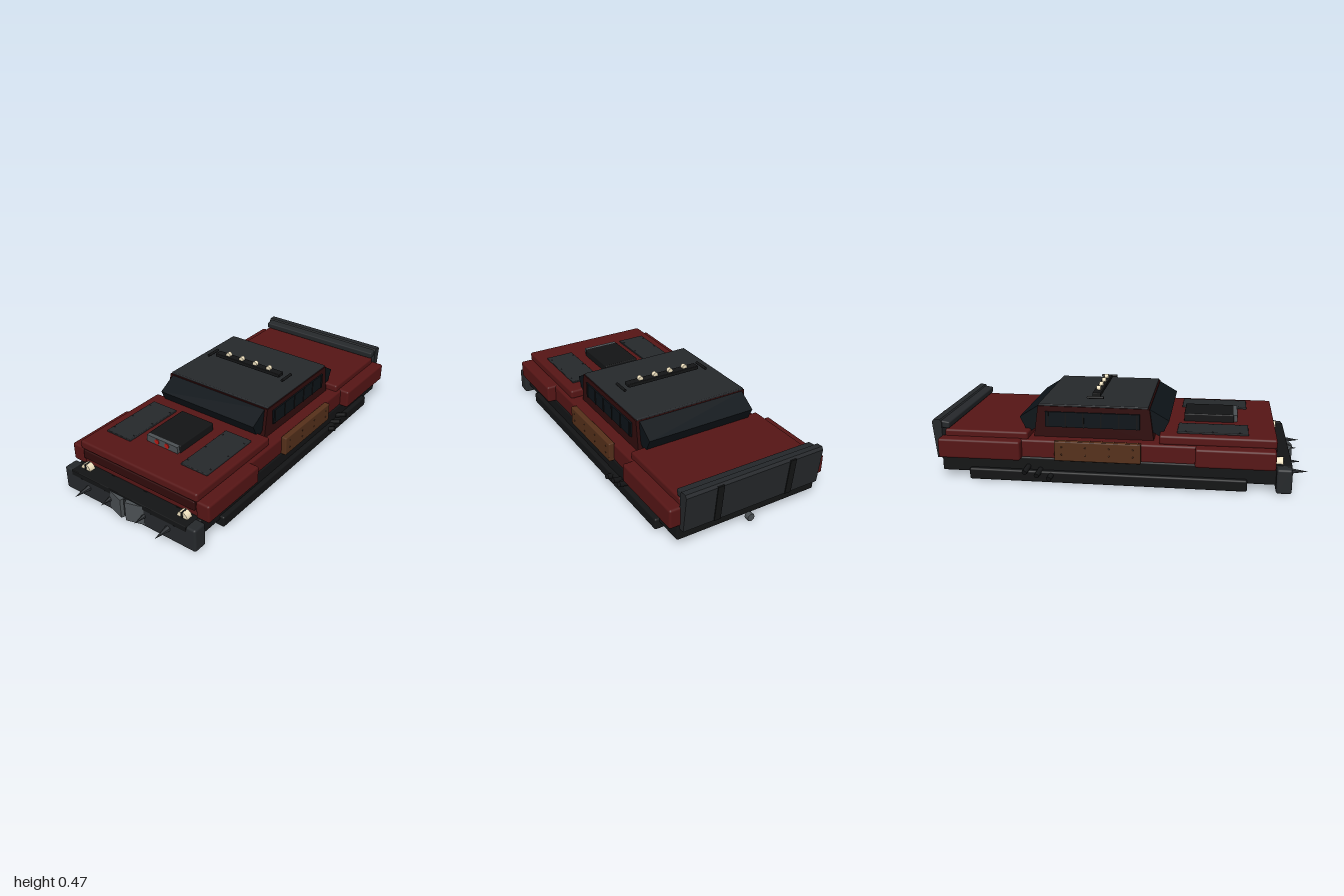
import * as THREE from 'three';
import { RoundedBoxGeometry } from 'three/addons/geometries/RoundedBoxGeometry.js';

const mat = (color, flat = false) => new THREE.MeshStandardMaterial({ color, flatShading: flat });
const RED = mat(0x561515), DARKRED = mat(0x300c0c), BLACK = mat(0x131415), STEEL = mat(0x25282b),
  GLASS = mat(0x0c1318), RUST = mat(0x55301a), PLATE = mat(0x4b5053), CREAM = mat(0xf0e2c0),
  SIGNAL = mat(0xb81a14), SPIKE = mat(0x2c2f33, true);

export function createModel() {
  const car = new THREE.Group();
  car.name = 'armouredCar';

  const add = (name, geometry, material, x = 0, y = 0, z = 0) => {
    const mesh = new THREE.Mesh(geometry, material);
    mesh.name = name;
    mesh.position.set(x, y, z);
    car.add(mesh);
    return mesh;
  };
  // Box given by its limits, rounded when r > 0
  const box = (name, material, [x0, x1], [y0, y1], [z0, z1], r = 0) => {
    const s = [x1 - x0, y1 - y0, z1 - z0];
    const geometry = r ? new RoundedBoxGeometry(...s, 2, r) : new THREE.BoxGeometry(...s);
    return add(name, geometry, material, (x0 + x1) / 2, (y0 + y1) / 2, (z0 + z1) / 2);
  };
  // Side profile of [z, y] points, extruded across the width
  const prism = (name, material, points, half) => {
    const shape = new THREE.Shape(points.map(p => new THREE.Vector2(...p)));
    const geometry = new THREE.ExtrudeGeometry(shape, { depth: 2 * half, bevelEnabled: false });
    geometry.rotateY(-Math.PI / 2).translate(half, 0, 0);
    return add(name, geometry, material);
  };
  // Round bar along z, tapering from r0 at the back to r1 at the front
  const rod = (name, material, r0, r1, length, sides, x, y, z) =>
    add(name, new THREE.CylinderGeometry(r1, r0, length, sides).rotateX(Math.PI / 2), material, x, y, z);
  const bolt = (x, y, z, material = BLACK) =>
    add('bolt', new THREE.SphereGeometry(0.005, 8, 6), material, x, y, z);

  // Chassis and body
  box('chassis', BLACK, [-0.41, 0.41], [0.04, 0.135], [-0.945, 0.83], 0.01);
  box('body', RED, [-0.405, 0.405], [0.125, 0.228], [-0.93, 0.81], 0.012);
  box('hood', RED, [-0.388, 0.388], [0.225, 0.275], [0.22, 0.825], 0.012);
  box('trunk', RED, [-0.39, 0.39], [0.215, 0.265], [-0.93, -0.475], 0.012);
  box('grille', DARKRED, [-0.37, 0.37], [0.172, 0.225], [0.8, 0.826], 0.005);

  // Cabin, roof and projecting screens
  prism('cabin', DARKRED, [[0.19, 0.22], [0.165, 0.396], [-0.43, 0.396], [-0.455, 0.22]], 0.333);
  box('roof', STEEL, [-0.328, 0.328], [0.393, 0.406], [-0.43, 0.158], 0.005);
  prism('windshield', GLASS, [[0.165, 0.392], [0.268, 0.333], [0.225, 0.243], [0.13, 0.3]], 0.315);
  prism('rearWindow', GLASS, [[-0.4, 0.3], [-0.492, 0.24], [-0.535, 0.328], [-0.435, 0.392]], 0.315);

  // Parts on both sides
  for (const s of [-1, 1]) {
    const span = (a, b) => (s > 0 ? [a, b] : [-b, -a]);
    box('rockerRail', BLACK, span(0.375, 0.435), [0.004, 0.066], [-0.79, 0.68], 0.01);
    box('frontFender', RED, span(0.375, 0.455), [0.13, 0.23], [0.41, 0.82], 0.012);
    box('rearFender', RED, span(0.375, 0.455), [0.125, 0.23], [-0.95, -0.505], 0.012);
    box('rustPanel', RUST, span(0.4, 0.434), [0.128, 0.235], [-0.325, 0.13], 0.006);
    for (let i = 0; i < 4; i++)
      for (const y of [0.165, 0.205]) bolt(s * 0.432, y, 0.09 - i * 0.125, RUST);

    box('sideWindow', GLASS, span(0.32, 0.341), [0.285, 0.368], [-0.39, 0.115]);
    for (let i = 0; i < 6; i++) {
      const z = 0.1 - i * 0.095;
      box('windowBar', BLACK, span(0.338, 0.344), [0.285, 0.368], [z - 0.004, z + 0.004]);
    }

    // Slanted exhaust pipes
    for (let i = 0; i < 3; i++) {
      const pipe = add('exhaustPipe', new THREE.CylinderGeometry(0.014, 0.014, 0.07, 12), BLACK,
        s * 0.432, 0.045 + i * 0.015 + (s > 0 ? 0.008 : 0), -0.345 - i * 0.065);
      pipe.quaternion.setFromUnitVectors(new THREE.Vector3(0, 1, 0),
        new THREE.Vector3(1, 0.3, s * -0.2).normalize());
    }

    // Hood armour
    box('hoodPlate', STEEL, span(0.17, 0.335), [0.27, 0.284], [0.31, 0.68], 0.004);
    for (const x of [0.182, 0.323])
      for (const z of [0.355, 0.495, 0.635]) bolt(s * x, 0.282, z);
    rod('scoopLight', SIGNAL, 0.014, 0.014, 0.006, 20, s * 0.033, 0.298, 0.625);

    // Headlights split by a bar
    rod('headlight', CREAM, 0.032, 0.032, 0.035, 24, s * 0.325, 0.136, 0.845);
    box('headlightBar', BLACK, span(0.32, 0.33), [0.12, 0.168], [0.83, 0.866]);

    // Ram plate and bumper spikes
    const plate = box('ramPlate', PLATE, span(0.01, 0.112), [0.015, 0.126], [0.895, 0.92]);
    plate.rotation.y = s * 0.28;
    rod('outerSpike', SPIKE, 0.017, 0, 0.1, 6, s * 0.268, 0.07, 0.95);
    rod('innerSpike', SPIKE, 0.013, 0, 0.075, 6, s * 0.115, 0.07, 0.937);

    // Roof lamps and end rods
    rod('roofRod', BLACK, 0.008, 0.008, 0.09, 10, s * 0.255, 0.431, -0.133);
    for (const x of [0.047, 0.139])
      rod('roofLamp', CREAM, 0.014, 0.014, 0.022, 20, s * x, 0.454, -0.133);
  }

  // Hood scoop and roof light bar
  box('scoop', BLACK, [-0.107, 0.107], [0.27, 0.317], [0.335, 0.606], 0.006);
  box('scoopFace', PLATE, [-0.102, 0.102], [0.278, 0.316], [0.6, 0.624]);
  box('lightBar', BLACK, [-0.22, 0.22], [0.426, 0.447], [-0.156, -0.11], 0.004);

  // Front bumper
  box('frontBumper', STEEL, [-0.438, 0.438], [0.003, 0.135], [0.825, 0.905], 0.012);
  box('bumperInset', BLACK, [-0.385, 0.385], [0.105, 0.137], [0.815, 0.907], 0.004);
  box('ramSpine', STEEL, [-0.01, 0.01], [0.02, 0.125], [0.9, 0.915]);

  // Leaning tailgate with ribs, lip and tow stub
  prism('tailgate', STEEL, [[-0.94, 0.105], [-0.975, 0.107], [-0.995, 0.305], [-0.985, 0.32],
    [-0.952, 0.318], [-0.943, 0.305]], 0.397);
  box('tailgateLip', STEEL, [-0.39, 0.39], [0.27, 0.308], [-0.955, -0.902], 0.008).rotation.x = 0.15;
  for (const x of [-0.21, 0.21])
    prism('tailgateRib', BLACK, [[-0.95, 0.107], [-0.98, 0.107], [-1, 0.31], [-0.96, 0.31]], 0.018)
      .position.x = x;
  rod('towStub', PLATE, 0.021, 0.021, 0.026, 8, 0, 0.03, -0.957);

  return car;
}
